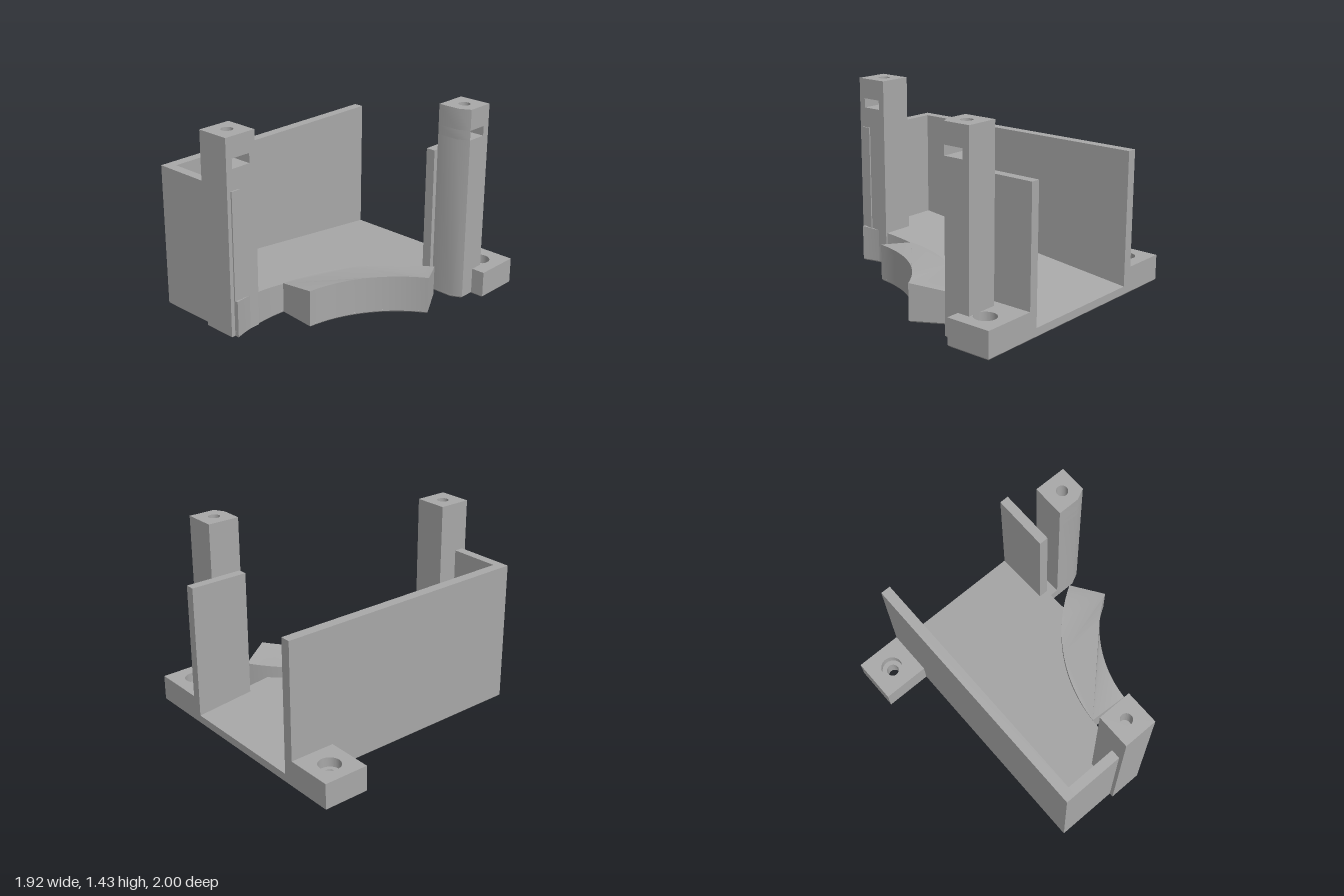
import * as THREE from 'three';
import { toCreasedNormals } from 'three/addons/utils/BufferGeometryUtils.js';

const FOOT = 0.012;                       // height of the bottom chamfer
const CX = 1.3, CZ = 0.61;                // centre of the curved cut-out
const R_OUT = 1.22, R_IN = 0.93;          // radii of the curved rim
const FLOOR_CUT = 0.909, RIM_START = 1.04, RIM_END = 0.09, CUT_END = -0.2995;
const BORE = 0.045, COUNTERBORE = 0.08;

// Plan points [x, z] along the cut-out, angles measured from its -x side
function arc(radius, from, to, n = 24) {
  return Array.from({ length: n + 1 }, (_, i) => {
    const a = Math.PI + from + (to - from) * i / n;
    return [CX + radius * Math.cos(a), CZ + radius * Math.sin(a)];
  });
}

function planShape(points, holes = []) {
  const shape = new THREE.Shape(points.map(([x, z]) => new THREE.Vector2(x, z)));
  for (const [x, z, r] of holes) {
    shape.holes.push(new THREE.Path().absarc(x, z, r, 0, Math.PI * 2, true));
  }
  return shape;
}

// Upright prism from a plan outline; topRule(x, z) can shape the upper face
function prism(points, y0, y1, holes = [], topRule = null) {
  const geo = new THREE.ExtrudeGeometry(planShape(points, holes),
    { depth: y1 - y0, bevelEnabled: false, curveSegments: 32 });
  geo.rotateX(Math.PI / 2).translate(0, y1, 0);
  if (topRule) {
    const p = geo.attributes.position;
    for (let i = 0; i < p.count; i++) {
      if (p.getY(i) > (y0 + y1) / 2) p.setY(i, topRule(p.getX(i), p.getZ(i)));
    }
  }
  return toCreasedNormals(geo, 0.5);
}

const rect = (x0, x1, z0, z1) => [[x0, z0], [x1, z0], [x1, z1], [x0, z1]];

export function createModel() {
  const model = new THREE.Group();
  model.name = 'bracket';
  const grey = new THREE.MeshStandardMaterial({ color: 0xa8a8a8 });
  grey.name = 'grey';

  const add = (name, geo, parent = model) => {
    const mesh = new THREE.Mesh(geo, grey);
    mesh.name = name;
    parent.add(mesh);
  };

  // Chamfered foot under the whole footprint
  const footprint = [
    [-0.96, -1], [0.96, -1], [0.96, -0.66], [0.86, -0.66], [0.86, -0.55], [0.78, -0.51],
    [0.55, -0.51],
    ...arc(R_OUT, FLOOR_CUT, RIM_START, 4),
    ...arc(R_IN, RIM_START, RIM_END),
    ...arc(R_OUT, RIM_END, CUT_END, 10),
    [0.1, 0.97], [0.1, 1], [-0.15, 1], [-0.15, 0.97],
    [-0.61, 0.97], [-0.61, -0.66], [-0.96, -0.66],
  ];
  const foot = new THREE.ExtrudeGeometry(
    planShape(footprint, [[-0.79, -0.83, BORE], [0.79, -0.83, BORE]]),
    { depth: 0.01, bevelThickness: FOOT, bevelSize: FOOT, bevelOffset: -FOOT,
      bevelSegments: 1, curveSegments: 32 });
  foot.rotateX(Math.PI / 2).translate(0, 0.01 + FOOT, 0);
  add('foot', toCreasedNormals(foot, 0.5));

  // Floor, rising gently towards the front
  const floorPlan = [
    [-0.61, -1], [0.55, -1], [0.55, -0.66], [0.62, -0.66], [0.62, -0.51], [0.55, -0.51],
    ...arc(R_OUT, FLOOR_CUT, CUT_END, 32),
    [-0.61, 0.97],
  ];
  add('floor', prism(floorPlan, FOOT, 0.2, [], (x, z) => 0.175 + 0.105 * z));

  // Curved rim with a conical top
  const rimPlan = [...arc(R_IN, RIM_START, RIM_END, 32), ...arc(R_OUT, RIM_END, RIM_START, 32)];
  add('curvedRim', prism(rimPlan, FOOT, 0.28, [], (x, z) => {
    const t = (Math.hypot(x - CX, z - CZ) - R_IN) / (R_OUT - R_IN);
    return 0.28 - 0.047 * t;
  }));

  // Walls
  add('leftoverWall', prism(rect(-0.61, -0.535, -1, 0.97), FOOT, 1.06));
  add('frontWall', prism(rect(-0.535, 0.11, 0.9, 0.97), FOOT, 1.06));
  add('shortWall', prism(rect(0.48, 0.55, -1, -0.56), FOOT, 1.06));

  // Mounting ears with counterbored holes
  for (const [name, x0, x1, hx] of [['rightEar', -0.96, -0.61, -0.79], ['leftEar', 0.55, 0.96, 0.79]]) {
    const ear = new THREE.Group();
    ear.name = name;
    const plan = rect(x0, x1, -1, -0.66);
    add('earBase', prism(plan, FOOT, 0.13, [[hx, -0.83, BORE]]), ear);
    add('earTop', prism(plan, 0.13, 0.2, [[hx, -0.83, COUNTERBORE]]), ear);
    model.add(ear);
  }

  // Posts with a screw hole on top and a nut slot on the +x side
  const posts = [
    { name: 'frontPost', x: -0.15, z: 0.75, hole: [-0.03, 0.87, 0.042],
      end: [[0.1, 1]], slot: [0.8, 0.95] },
    { name: 'backPost', x: 0.615, z: -0.755, hole: [0.74, -0.63, 0.042],
      end: [[0.86, -0.55], [0.78, -0.51]], slot: [-0.7, -0.55] },
  ];
  for (const { name, x, z, hole, end, slot } of posts) {
    const post = new THREE.Group();
    post.name = name;
    const xr = end[0][0], zf = end[end.length - 1][1];
    const plan = [[x, z], [xr, z], ...end, [x, zf]];
    const inner = x + 0.07;
    const slotted = [[x, z], [xr, z], [xr, slot[0]], [inner, slot[0]], [inner, slot[1]],
      [xr, slot[1]], ...end.filter((p) => p[1] > slot[1]), [x, zf]];
    add('postShaft', prism(plan, FOOT, 1.21), post);
    add('nutSlot', prism(slotted, 1.21, 1.28), post);
    add('postCap', prism(plan, 1.28, 1.43, [hole]), post);
    model.add(post);
  }

  return model;
}
